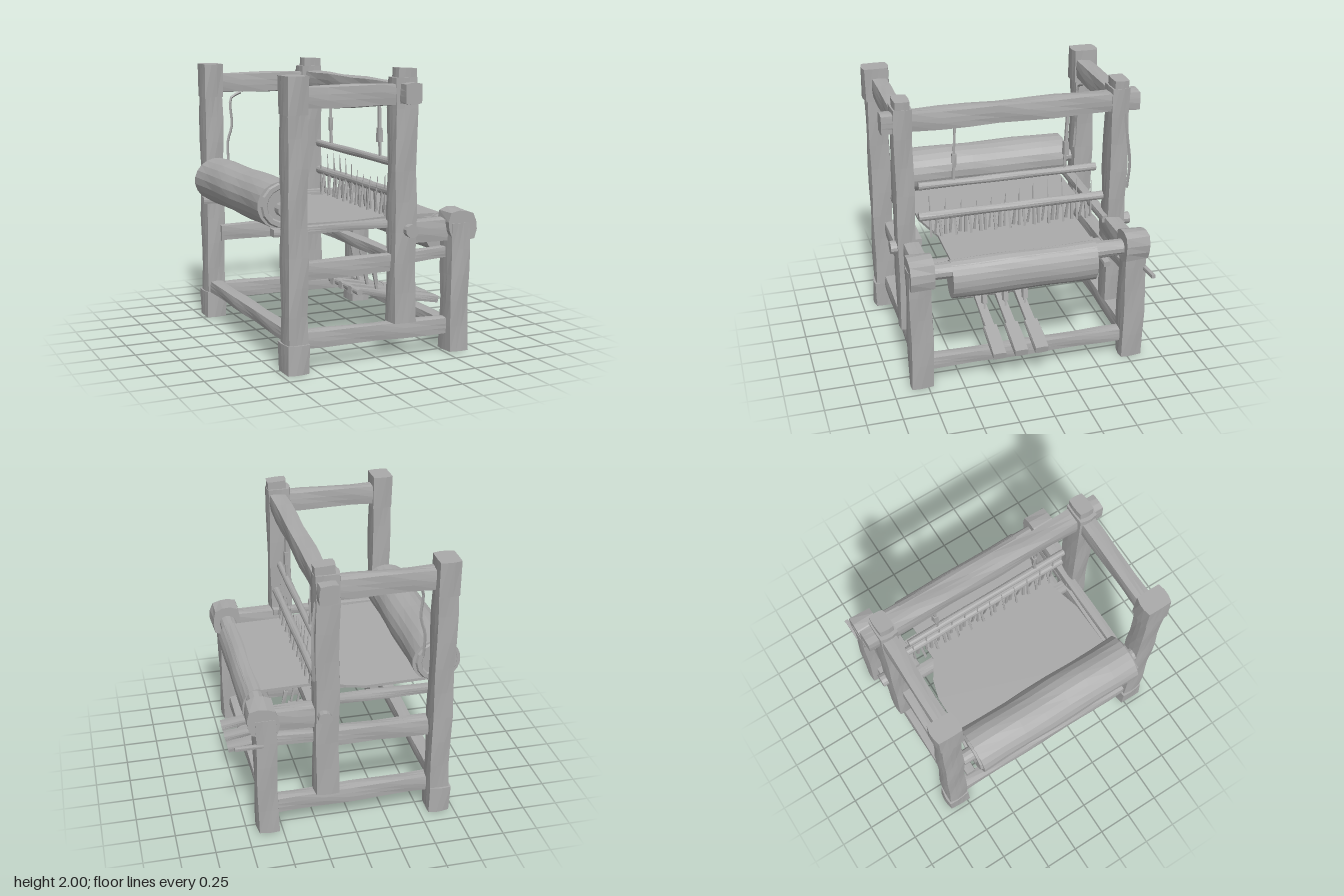
import * as THREE from 'three';

export function createModel() {
  const model = new THREE.Group();
  model.name = 'loom';
  const wood = new THREE.MeshStandardMaterial({ color: 0xaaaaaa, flatShading: true, side: THREE.DoubleSide });
  wood.name = 'plain grey';
  let seed = 1;

  const add = (name, geo) => {
    const mesh = new THREE.Mesh(geo, wood);
    mesh.name = name;
    model.add(mesh);
    return mesh;
  };

  // Rough-hewn timber between two points; a and b are its cross-section widths.
  // Vertical: a = x, b = z. Along x: a = y, b = z. Along z: a = x, b = y.
  function timber(name, from, to, a, b = a, { square = 0.75, rough = 0.06, sides = 12, taper = 1 } = {}) {
    const p = new THREE.Vector3(...from), q = new THREE.Vector3(...to);
    const dir = q.clone().sub(p), len = dir.length();
    const geo = new THREE.CylinderGeometry(1, 1, len, sides, Math.max(1, Math.round(len * 5)), false, Math.PI / sides);
    const pos = geo.attributes.position;
    const s = seed++ * 1.7;
    for (let i = 0; i < pos.count; i++) {
      const x = pos.getX(i), y = pos.getY(i), z = pos.getZ(i);
      const r = Math.hypot(x, z);
      if (r < 0.01) continue;
      const swell = 1 + rough * Math.sin(y * 9 + s + 2 * Math.atan2(z, x));
      const k = swell * Math.pow(r / Math.max(Math.abs(x), Math.abs(z)), square) * (1 + (taper - 1) * (y / len + 0.5));
      pos.setXYZ(i, x * k * a / 2, y, z * k * b / 2);
    }
    geo.computeVertexNormals();
    const mesh = add(name, geo);
    mesh.quaternion.setFromUnitVectors(new THREE.Vector3(0, 1, 0), dir.normalize());
    mesh.position.copy(p).add(q).multiplyScalar(0.5);
    return mesh;
  }
  const round = { square: 0, rough: 0.05 };
  const thread = { square: 0, rough: 0.3, sides: 4 };

  for (const s of [-1, 1]) {
    // Upright posts with chunky heads and feet
    timber('backPost', [-0.635, 0, s * 0.81], [-0.635, 1.96, s * 0.81], 0.15, 0.16);
    timber('backPostHead', [-0.635, 1.72, s * 0.81], [-0.635, 1.97, s * 0.81], 0.16, 0.19);
    timber('backPostFoot', [-0.64, 0, s * 0.81], [-0.64, 0.2, s * 0.81], 0.165, 0.18);
    timber('middlePost', [0.175, 0.25, s * 0.785], [0.175, 1.94, s * 0.785], 0.175, 0.14);
    timber('middlePostHead', [0.18, 1.8, s * 0.785], [0.19, 2, s * 0.785], 0.15, 0.11, { rough: 0.03 });
    timber('frontLeg', [0.6, 0, s * 0.785], [0.605, 0.92, s * 0.785], 0.155, 0.17);
    timber('frontLegKnob', [0.62, 0.9, s * 0.69], [0.62, 0.9, s * 0.86], 0.22, 0.22, { square: 0.4, rough: 0.07 });

    // Side rails, from top to bottom
    timber('topRail', [-0.6, 1.825, s * 0.79], [0.2, 1.825, s * 0.79], 0.15, 0.11);
    timber('sheetRail', [-0.75, 0.935, s * 0.71], [0.25, 0.935, s * 0.71], 0.055, 0.07);
    timber('armRail', [0.13, 0.87, s * 0.755], [0.62, 0.87, s * 0.755], 0.16, 0.12);
    timber('middleRail', [-0.6, 0.665, s * 0.75], [0.2, 0.67, s * 0.75], 0.125, 0.1);
    timber('frontMiddleRail', [0.2, 0.69, s * 0.75], [0.58, 0.71, s * 0.75], 0.08, 0.08);
    timber('bottomRail', [-0.62, 0.205, s * 0.77], [0.6, 0.18, s * 0.77], 0.12, 0.1);

    // Pegs through the joints
    timber('postPeg', [0.2, 0.9, s * 0.72], [0.2, 0.9, s * 0.9], 0.1, 0.09, round);
    timber('rollPeg', [-0.66, 1.08, s * 0.64], [-0.66, 1.08, s * 0.73], 0.1, 0.1, round);
  }

  // Cross beams
  timber('topBeam', [0.185, 1.835, -0.93], [0.185, 1.835, 0.93], 0.13, 0.14);
  timber('backBottomBeam', [-0.64, 0.24, -0.78], [-0.64, 0.24, 0.78], 0.1, 0.09);
  timber('frontBottomBeam', [0.58, 0.16, -0.76], [0.58, 0.16, 0.76], 0.09, 0.095);
  timber('middleBeam', [0.17, 0.69, -0.76], [0.17, 0.69, 0.76], 0.09, 0.075);
  timber('breastBeam', [0.61, 0.885, -0.75], [0.61, 0.885, 0.75], 0.13, 0.12, round);
  timber('sideStick', [0.2, 0.76, -0.6], [0.58, 0.74, -0.6], 0.04, 0.05);
  timber('handle', [0.58, 0.72, -0.85], [0.82, 0.725, -0.86], 0.025, 0.03);

  // Warp roll at the back and cloth roll at the front
  const roll = { square: 0, rough: 0.025, sides: 20 };
  timber('warpRoll', [-0.655, 1.105, -0.64], [-0.655, 1.105, 0.66], 0.345, 0.33, roll);
  for (const z of [-0.63, 0.65]) {
    const coil = add('warpRollCoil', new THREE.TorusGeometry(0.13, 0.03, 6, 14));
    coil.position.set(-0.655, 1.105, z);
  }
  timber('clothRoll', [0.6, 0.805, -0.49], [0.6, 0.805, 0.56], 0.21, 0.29, roll);

  // Stretched cloth, wide at the back and narrow at the front
  const sheet = new THREE.Shape();
  [[-0.6, -0.62], [-0.16, -0.62], [-0.02, -0.58], [0.12, -0.49], [0.62, -0.49],
    [0.62, 0.55], [0.2, 0.55], [-0.1, 0.63], [-0.6, 0.64]]
    .forEach(([x, z], i) => (i ? sheet.lineTo(x, -z) : sheet.moveTo(x, -z)));
  const sheetGeo = new THREE.ExtrudeGeometry(sheet, { depth: 0.02, bevelEnabled: false });
  sheetGeo.rotateX(-Math.PI / 2);
  const sp = sheetGeo.attributes.position;
  for (let i = 0; i < sp.count; i++) sp.setY(i, sp.getY(i) + 0.935 - 0.02 * sp.getX(i));
  sheetGeo.computeVertexNormals();
  add('cloth', sheetGeo);

  // Heddle bars hung from the top beam
  timber('upperHeddleBar', [0.19, 1.34, -0.63], [0.19, 1.34, 0.68], 0.05, 0.055, round);
  timber('lowerHeddleBar', [0.22, 1.12, -0.68], [0.22, 1.12, 0.69], 0.06, 0.065, round);
  for (const z of [-0.4, 0.42]) {
    timber('heddleCord', [0.19, 1.33, z + 0.01], [0.19, 1.79, z - 0.01], 0.025, 0.025, thread);
    timber('heddleKnot', [0.19, 1.46, z], [0.19, 1.56, z], 0.045, 0.045, thread);
  }

  // Row of uneven heddle threads
  for (let i = 0; i < 34; i++) {
    const z = -0.6 + i * 0.0364, wave = Math.sin(i * 2.3);
    timber('heddleThread', [0.2 + 0.03 * wave, 0.95, z], [0.2, i % 3 ? 1.12 : 1.24 + 0.05 * wave, z + 0.012 * wave],
      0.02, 0.026, { ...thread, taper: i % 3 ? 0.9 : 0.2 });
  }

  // Three treadles and their cords
  for (const z of [-0.06, 0.09, 0.25]) {
    timber('treadle', [0.05, 0.36, z - 0.02], [0.75, 0.225, z], 0.05, 0.07);
    timber('treadlePad', [0.46, 0.285, z - 0.01], [0.76, 0.225, z], 0.05, 0.1);
    timber('treadleCord', [0.28, 0.31, z - 0.02], [0.2, 0.68, z - 0.02], 0.022, 0.022, thread);
    timber('treadleKnot', [0.27, 0.38, z - 0.02], [0.25, 0.48, z - 0.02], 0.045, 0.045, thread);
  }
  timber('treadleAxle', [0.08, 0.36, -0.16], [0.08, 0.36, 0.34], 0.045, 0.05, round);

  // Loose cords at the posts
  const cord = (name, pts) => add(name, new THREE.TubeGeometry(
    new THREE.CatmullRomCurve3(pts.map((p) => new THREE.Vector3(...p))), 14, 0.011, 4));
  cord('backLooseCord', [[-0.42, 1.75, -0.74], [-0.5, 1.71, -0.73], [-0.5, 1.5, -0.72], [-0.53, 1.38, -0.73], [-0.53, 1.2, -0.72]]);
  cord('frontLooseCord', [[0.25, 1.75, -0.82], [0.275, 1.55, -0.84], [0.28, 1.38, -0.86], [0.27, 1.18, -0.85]]);

  return model;
}
